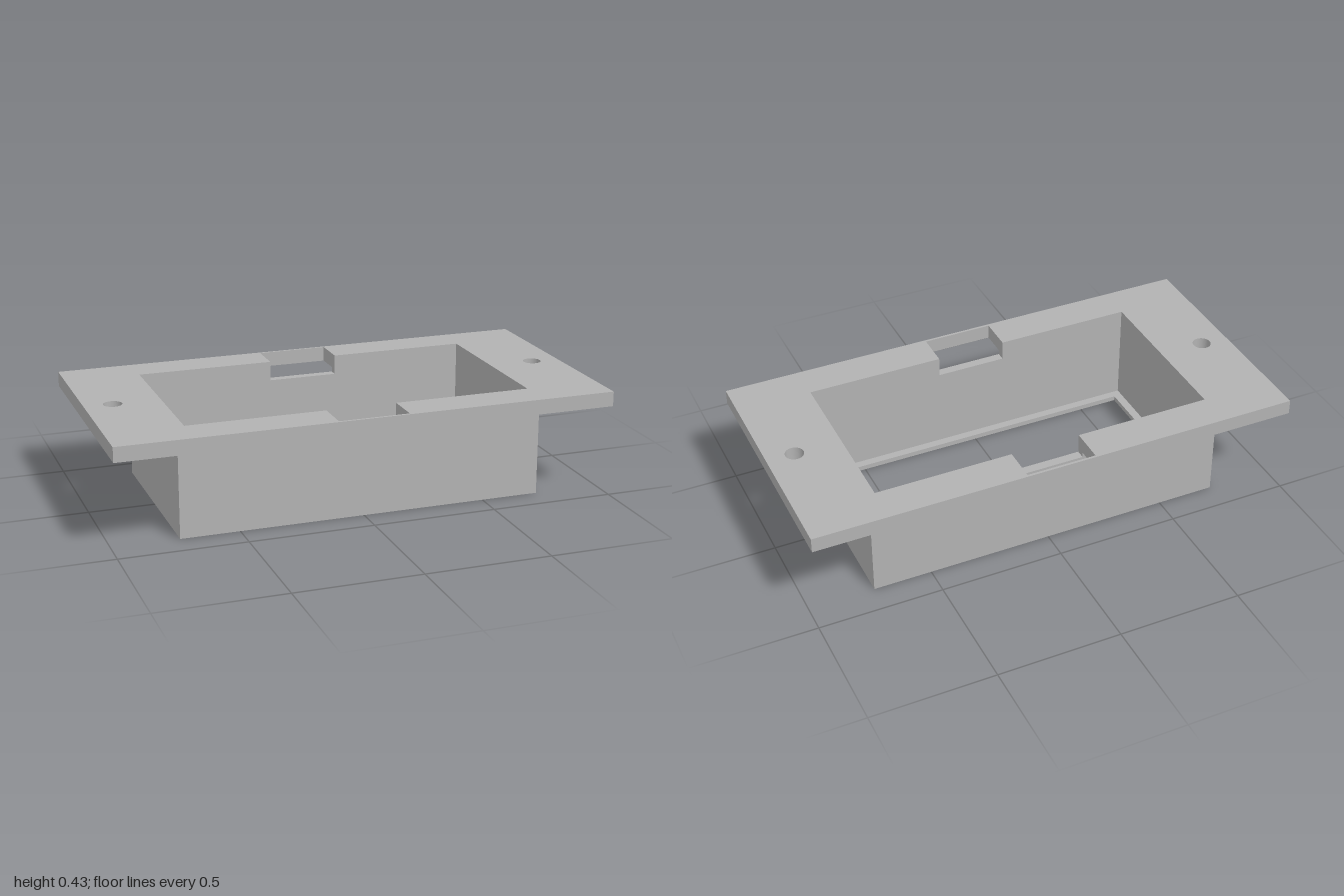
import * as THREE from 'three';

const plateBottom = 0.37, plateTop = 0.43;
const outerX = 0.735, outerZ = 0.387; // outside of the box
const innerX = 0.698, innerZ = 0.35; // inside of the box
const lipX = 0.664, lipZ = 0.317, lipHeight = 0.02;
const slotX = 0.142, slotZ = 0.49, slotBottom = 0.35;

// Closed outline from [x, y] points
const outline = (points, Type = THREE.Shape) =>
  new Type(points.map(([x, y]) => new THREE.Vector2(x, y)));

// Extrudes a plan (x, z) upward from y0 to y1
function extrudeUp(shape, y0, y1) {
  const geometry = new THREE.ExtrudeGeometry(shape, {
    depth: y1 - y0, bevelEnabled: false, curveSegments: 32,
  });
  return geometry.rotateX(-Math.PI / 2).translate(0, y0, 0);
}

export function createModel() {
  const group = new THREE.Group();
  const grey = new THREE.MeshStandardMaterial({ color: 0xb2b2b2 });
  grey.name = 'grey plastic';
  const add = (name, geometry) => {
    const mesh = new THREE.Mesh(geometry, grey);
    mesh.name = name;
    group.add(mesh);
    return mesh;
  };

  // Flange plate: opening with a clip slot on each long side, plus screw holes
  const plate = outline([[-1, -0.5], [1, -0.5], [1, 0.5], [-1, 0.5]]);
  plate.holes.push(outline([
    [-innerX, -innerZ], [-slotX, -innerZ], [-slotX, -slotZ], [slotX, -slotZ],
    [slotX, -innerZ], [innerX, -innerZ], [innerX, innerZ], [slotX, innerZ],
    [slotX, slotZ], [-slotX, slotZ], [-slotX, innerZ], [-innerX, innerZ],
  ], THREE.Path));
  for (const x of [-0.887, 0.887]) {
    const hole = new THREE.Path();
    hole.absarc(x, 0, 0.037, 0, Math.PI * 2, true);
    plate.holes.push(hole);
  }
  add('flangePlate', extrudeUp(plate, plateBottom, plateTop));

  // Long walls, notched at the top under the clip slots
  const wall = outline([
    [-outerX, 0], [outerX, 0], [outerX, plateBottom], [slotX, plateBottom],
    [slotX, slotBottom], [-slotX, slotBottom], [-slotX, plateBottom], [-outerX, plateBottom],
  ]);
  const wallGeometry = new THREE.ExtrudeGeometry(wall, {
    depth: outerZ - innerZ, bevelEnabled: false,
  });
  add('frontWall', wallGeometry).position.z = innerZ;
  add('backWall', wallGeometry).position.z = -outerZ;

  // Short end walls
  const endGeometry = new THREE.BoxGeometry(outerX - innerX, plateBottom, innerZ * 2);
  for (const [name, side] of [['leftWall', 1], ['rightWall', -1]]) {
    add(name, endGeometry).position.set(side * (outerX + innerX) / 2, plateBottom / 2, 0);
  }

  // Thin lip inside the bottom edge, with a cable notch at one end
  const lip = outline([[-innerX, -innerZ], [innerX, -innerZ], [innerX, innerZ], [-innerX, innerZ],
    [-innerX, 0.062], [-lipX, 0.062], [-lipX, lipZ], [lipX, lipZ],
    [lipX, -lipZ], [-lipX, -lipZ], [-lipX, -0.062], [-innerX, -0.062]]);
  add('bottomLip', extrudeUp(lip, 0, lipHeight));

  return group;
}
